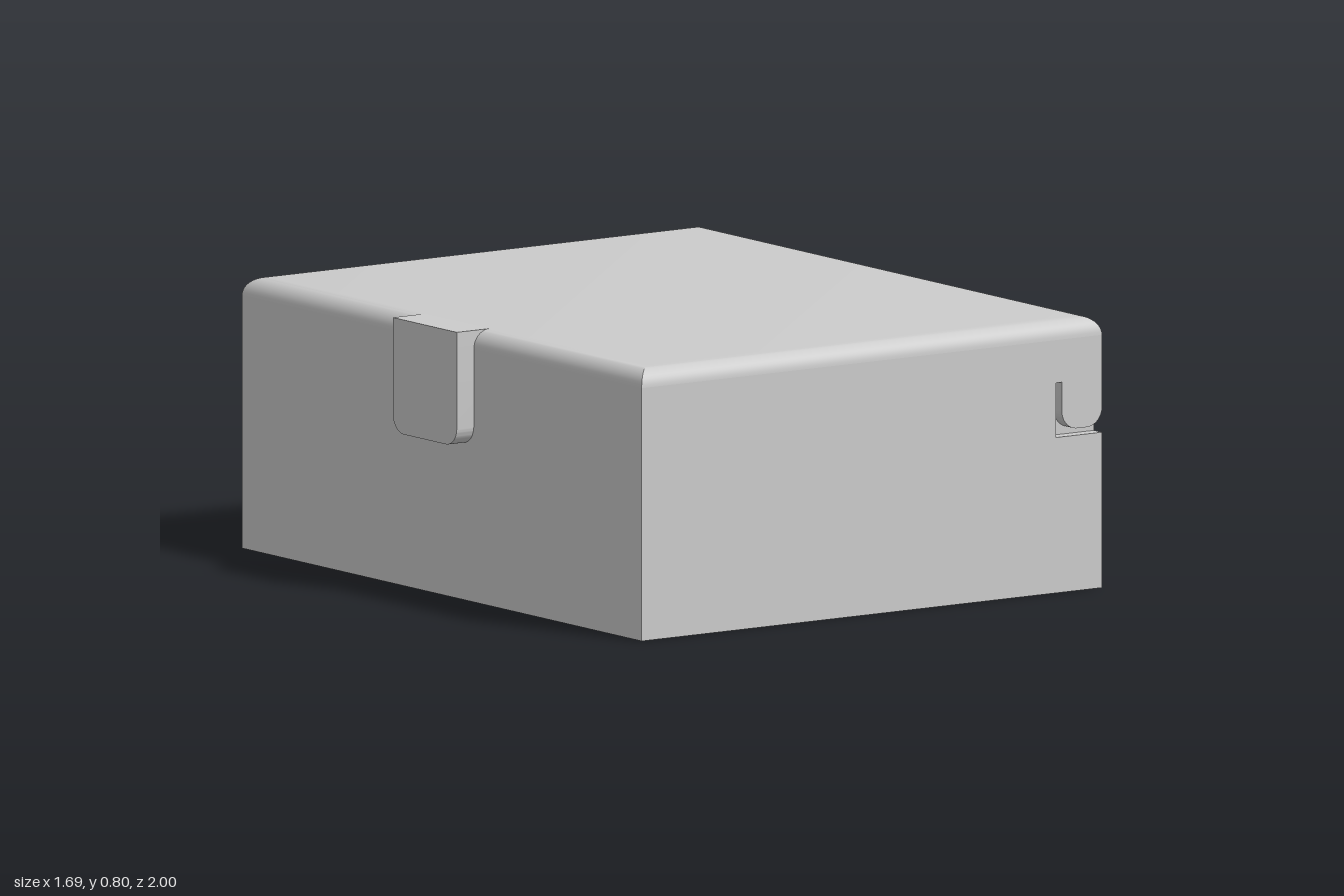
import * as THREE from 'three';
import { toCreasedNormals } from 'three/addons/utils/BufferGeometryUtils.js';

const X0 = -0.785, X1 = 0.842, Z = 1, TOP = 0.795, R = 0.055, DEPTH = 0.04;
const SHOULDER = TOP - R;
const grey = new THREE.MeshStandardMaterial({ color: 0xcccccc });

function add(group, name, geometry) {
  const mesh = new THREE.Mesh(toCreasedNormals(geometry, 0.5), grey);
  mesh.name = name;
  group.add(mesh);
  return mesh;
}

// Rounded top with mitred corners: rectangles that shrink along a quarter circle
function roundedTop(steps = 10) {
  const ring = (i) => {
    const a = (i / steps) * Math.PI / 2, d = R * (1 - Math.cos(a));
    const y = SHOULDER + R * Math.sin(a);
    return [[X0 + d, y, Z - d], [X1 - d, y, Z - d], [X1 - d, y, -Z + d], [X0 + d, y, -Z + d]];
  };
  const pos = [];
  const quad = (a, b, c, d) => pos.push(...a, ...b, ...c, ...a, ...c, ...d);
  for (let i = 0; i < steps; i++) {
    const lo = ring(i), hi = ring(i + 1);
    for (let k = 0; k < 4; k++) {
      const n = (k + 1) % 4;
      quad(lo[k], lo[n], hi[n], hi[k]);
    }
  }
  quad(...ring(steps));
  const geometry = new THREE.BufferGeometry();
  geometry.setAttribute('position', new THREE.Float32BufferAttribute(pos, 3));
  return geometry;
}

// End wall outline, with the L-shaped latch groove cut in from the +x edge
function endWallShape() {
  const s = new THREE.Shape();
  s.moveTo(X0, 0);
  s.lineTo(X1, 0);
  s.lineTo(X1, 0.455);
  s.lineTo(0.68, 0.455);
  s.lineTo(0.68, 0.615);
  s.lineTo(0.7, 0.615);
  s.lineTo(0.7, 0.53);
  s.absarc(0.755, 0.53, 0.055, Math.PI, Math.PI * 1.5, false);
  s.lineTo(X1 - 0.055, 0.475);
  s.absarc(X1 - 0.055, 0.53, 0.055, -Math.PI / 2, 0, false);
  s.lineTo(X1, SHOULDER);
  s.lineTo(X0, SHOULDER);
  s.closePath();
  return s;
}

// Side tab outline with rounded lower corners
function tabShape() {
  const w = 0.16, low = 0.46, r = 0.055, s = new THREE.Shape();
  s.moveTo(w, TOP);
  s.lineTo(-w, TOP);
  s.lineTo(-w, low + r);
  s.absarc(-w + r, low + r, r, Math.PI, Math.PI * 1.5, false);
  s.lineTo(w - r, low);
  s.absarc(w - r, low + r, r, -Math.PI / 2, 0, false);
  s.closePath();
  return s;
}

export function createModel() {
  const group = new THREE.Group();
  group.name = 'box';

  // Main block between the two end walls
  const core = new THREE.BoxGeometry(X1 - X0, SHOULDER, 2 * (Z - DEPTH));
  core.translate((X0 + X1) / 2, SHOULDER / 2, 0);
  add(group, 'body', core);
  add(group, 'roundedTop', roundedTop());

  // Grooved end walls, front and back
  for (const [name, z] of [['frontWall', Z - DEPTH], ['backWall', -Z]]) {
    const wall = new THREE.ExtrudeGeometry(endWallShape(), { depth: DEPTH, bevelEnabled: false, curveSegments: 10 });
    add(group, name, wall.translate(0, 0, z));
  }

  // Tab on the right side, flush with the top
  const tab = new THREE.ExtrudeGeometry(tabShape(), { depth: 0.115, bevelEnabled: false, curveSegments: 10 });
  tab.rotateY(-Math.PI / 2).translate(-0.73, 0, 0);
  add(group, 'sideTab', tab);

  return group;
}
